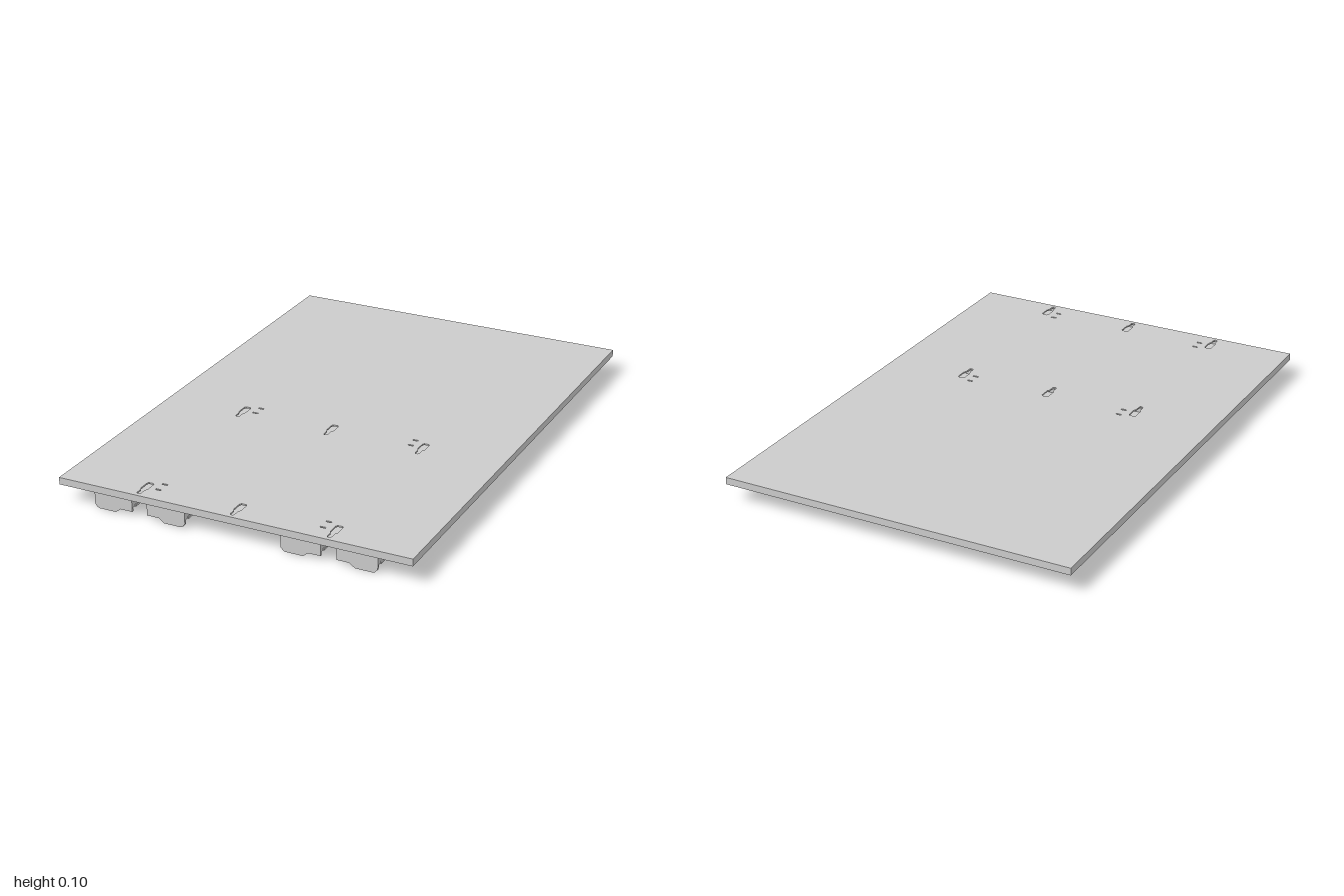
import * as THREE from 'three';

const HALF_W = 0.705, TOP = 0.098, SKIN = 0.006, BOTTOM = 0.07, LIP = 0.03;
const material = new THREE.MeshStandardMaterial({ color: 0xcccccc, flatShading: true });

function outline(points, Type = THREE.Shape) {
  return new Type(points.map(([x, y]) => new THREE.Vector2(x, y)));
}

function rect(x0, x1, z0, z1, Type = THREE.Path) {
  return outline([[x0, z0], [x1, z0], [x1, z1], [x0, z1]], Type);
}

// Plan-view slab: shape y becomes z, thickness runs down from the given top
function slab(name, shape, top, thickness) {
  const geometry = new THREE.ExtrudeGeometry(shape, { depth: thickness, bevelEnabled: false, curveSegments: 8 });
  geometry.rotateX(Math.PI / 2).translate(0, top, 0);
  const mesh = new THREE.Mesh(geometry, material);
  mesh.name = name;
  return mesh;
}

function box(name, w, h, d, x, y, z) {
  const mesh = new THREE.Mesh(new THREE.BoxGeometry(w, h, d), material);
  mesh.name = name;
  mesh.position.set(x, y, z);
  return mesh;
}

// Mounting slot with a wide rear end and a narrow rounded front end
function keyhole(x, z) {
  return outline([
    [x - 0.009, z], [x + 0.009, z], [x + 0.014, z + 0.006], [x + 0.014, z + 0.048],
    [x + 0.008, z + 0.06], [x + 0.008, z + 0.085], [x + 0.004, z + 0.091],
    [x - 0.004, z + 0.091], [x - 0.008, z + 0.085], [x - 0.008, z + 0.06],
    [x - 0.014, z + 0.048], [x - 0.014, z + 0.006],
  ], THREE.Path);
}

// Hanging bracket: stepped front plate, two side cheeks with small nubs
function bracket(name, x, flip) {
  const group = new THREE.Group();
  group.name = name;
  const plate = outline([
    [-0.078, 0.07], [-0.078, 0.016], [-0.03, 0.016], [-0.01, 0.001], [-0.008, 0],
    [0.06, 0], [0.068, 0.003], [0.078, 0.015], [0.078, 0.07],
  ].map(([px, py]) => [px * flip, py]));
  const geometry = new THREE.ExtrudeGeometry(plate, { depth: 0.008, bevelEnabled: false });
  const front = new THREE.Mesh(geometry, material);
  front.name = 'bracketPlate';
  front.position.z = 0.975;
  group.add(front);
  for (const side of [-1, 1]) {
    group.add(box('bracketCheek', 0.008, 0.04, 0.062, side * 0.074, 0.05, 0.945));
    group.add(box('cheekNub', 0.005, 0.008, 0.036, side * 0.0795, 0.033, 0.945));
  }
  group.position.x = x;
  return group;
}

export function createModel() {
  const model = new THREE.Group();
  model.name = 'panel';
  const inner = HALF_W - LIP;

  // Top skin with keyholes and short slits in two rows
  const skin = rect(-HALF_W, HALF_W, -1, 1, THREE.Shape);
  for (const z of [0.162, 0.893]) {
    for (const x of [-0.38, 0, 0.38]) skin.holes.push(keyhole(x, z));
    for (const x of [-0.33, 0.33]) {
      for (const dz of [-0.015, 0.031]) {
        skin.holes.push(rect(x - 0.011, x + 0.011, z + dz, z + dz + 0.007));
      }
    }
  }
  model.add(slab('topSkin', skin, TOP, SKIN));

  // Rim and cross members, leaving recesses and hollow channels
  const frame = rect(-HALF_W, HALF_W, -1, 1, THREE.Shape);
  for (const [z0, z1] of [[-0.97, 0.1], [0.11, 0.25], [0.26, 0.79], [0.808, 0.83], [0.84, 0.994]]) {
    frame.holes.push(rect(-inner, inner, z0, z1));
  }
  model.add(slab('underFrame', frame, TOP - SKIN, TOP - SKIN - BOTTOM));

  // Floors closing the channels under the keyholes
  for (const [name, z0, z1] of [['middleChannelFloor', 0.105, 0.255], ['frontChannelFloor', 0.835, 0.997]]) {
    model.add(slab(name, rect(-inner - 0.005, inner + 0.005, z0, z1, THREE.Shape), BOTTOM + 0.004, 0.004));
  }

  // Two mirrored pairs of brackets along the front edge
  for (const side of [-1, 1]) {
    model.add(bracket('outerBracket', side * 0.488, side));
    model.add(bracket('innerBracket', side * 0.27, -side));
  }
  return model;
}
